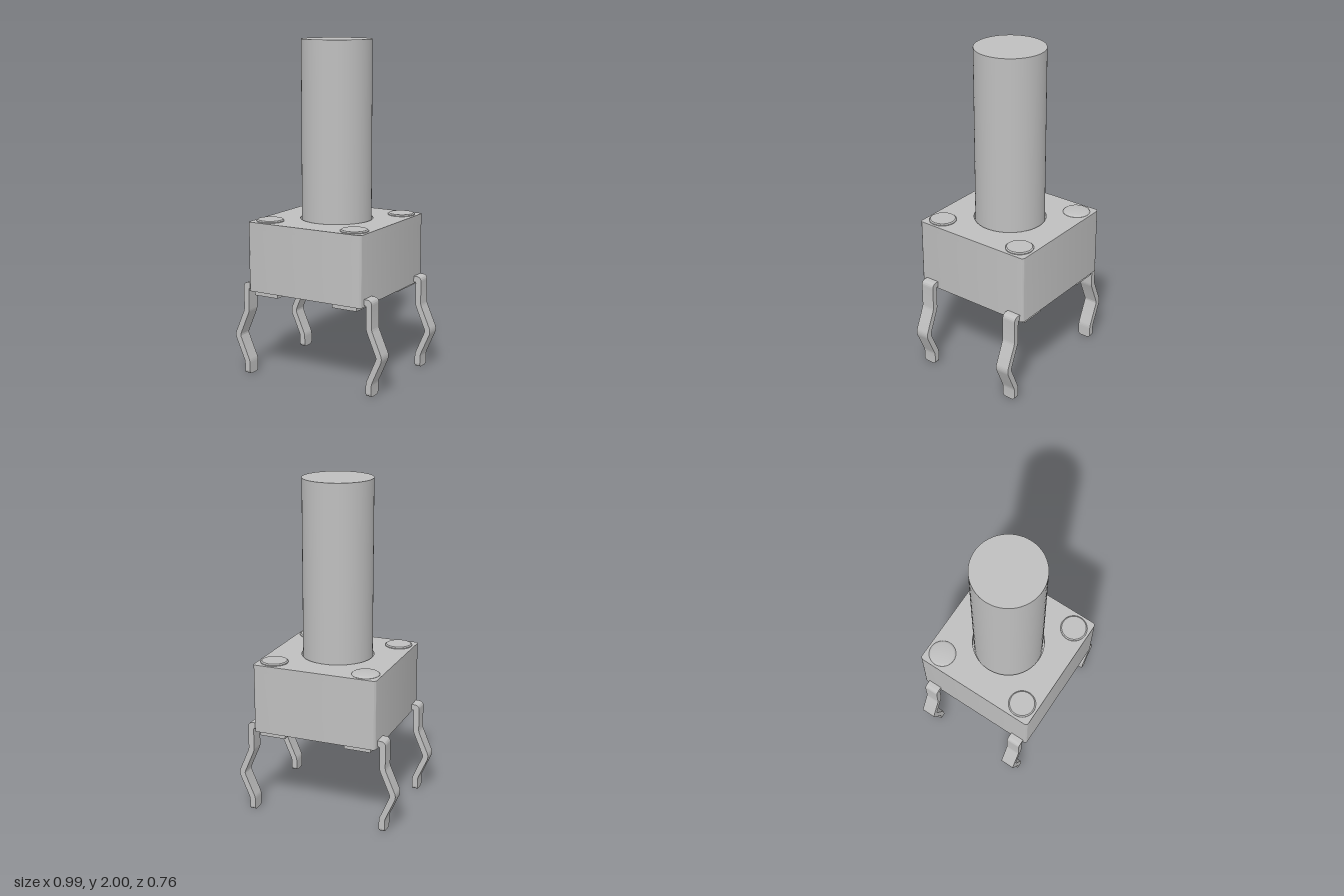
import * as THREE from 'three';
import { toCreasedNormals } from 'three/addons/utils/BufferGeometryUtils.js';

const grey = new THREE.MeshStandardMaterial({ color: 0xbfbfbf });
grey.name = 'light grey';

function add(parent, name, geometry, x = 0, y = 0, z = 0) {
  const mesh = new THREE.Mesh(geometry, grey);
  mesh.name = name;
  mesh.position.set(x, y, z);
  parent.add(mesh);
  return mesh;
}

// Square outline with rounded corners
function roundedSquare(h, r) {
  const s = new THREE.Shape();
  s.absarc(h - r, h - r, r, 0, Math.PI / 2);
  s.absarc(r - h, h - r, r, Math.PI / 2, Math.PI);
  s.absarc(r - h, r - h, r, Math.PI, Math.PI * 1.5);
  s.absarc(h - r, r - h, r, Math.PI * 1.5, Math.PI * 2);
  s.closePath();
  return s;
}

function extrude(shape, depth) {
  const geo = new THREE.ExtrudeGeometry(shape, { depth, bevelEnabled: false, curveSegments: 32 });
  return toCreasedNormals(geo, 0.5);
}

function lathe(points) {
  const geo = new THREE.LatheGeometry(points.map(([r, y]) => new THREE.Vector2(r, y)), 64);
  return toCreasedNormals(geo, 0.5);
}

// Bent strip: horizontal root, rounded shoulder and an outward kink
function legProfile() {
  const s = new THREE.Shape();
  s.moveTo(0.37, 0.57);
  s.lineTo(0.4, 0.57);
  s.quadraticCurveTo(0.43, 0.568, 0.43, 0.54);
  s.lineTo(0.43, 0.41);
  s.quadraticCurveTo(0.43, 0.395, 0.437, 0.38);
  s.lineTo(0.489, 0.26);
  s.quadraticCurveTo(0.499, 0.235, 0.489, 0.21);
  s.lineTo(0.437, 0.092);
  s.quadraticCurveTo(0.43, 0.077, 0.43, 0.062);
  s.lineTo(0.43, 0.02);
  s.lineTo(0.395, 0.02);
  s.lineTo(0.395, 0.066);
  s.quadraticCurveTo(0.395, 0.082, 0.402, 0.098);
  s.lineTo(0.456, 0.222);
  s.quadraticCurveTo(0.462, 0.235, 0.456, 0.248);
  s.lineTo(0.402, 0.374);
  s.quadraticCurveTo(0.395, 0.39, 0.395, 0.405);
  s.lineTo(0.395, 0.53);
  s.lineTo(0.39, 0.535);
  s.lineTo(0.37, 0.535);
  s.closePath();
  return s;
}

// Leg end with rounded lower corners, drawn across the strip
function tipShape(w) {
  const s = new THREE.Shape();
  s.moveTo(-w / 2, 0.02);
  s.absarc(-w / 2 + 0.02, 0.02, 0.02, Math.PI, Math.PI * 1.5);
  s.absarc(w / 2 - 0.02, 0.02, 0.02, Math.PI * 1.5, Math.PI * 2);
  s.closePath();
  return s;
}

export function createModel() {
  const model = new THREE.Group();
  model.name = 'pushButtonSwitch';

  // Housing: solid base under a thin top layer with the plunger opening
  const housing = new THREE.Group();
  housing.name = 'housing';
  model.add(housing);
  add(housing, 'housingBase', extrude(roundedSquare(0.381, 0.02), 0.375), 0, 0.525, 0).rotation.x = -Math.PI / 2;
  const coverShape = roundedSquare(0.381, 0.02);
  coverShape.holes.push(new THREE.Path().absarc(0, 0, 0.216, 0, Math.PI * 2, true));
  add(housing, 'housingCover', extrude(coverShape, 0.042), 0, 0.9, 0).rotation.x = -Math.PI / 2;

  // Plunger
  add(model, 'plunger', new THREE.CylinderGeometry(0.208, 0.208, 1.1, 64), 0, 1.45, 0);

  // Corner studs; the back right one is domed at the rim
  const stud = lathe([[0.081, 0], [0.081, 0.006], [0.074, 0.012], [0, 0.012]]);
  const domed = lathe([[0.081, 0], [0.081, 0.002], [0.078, 0.007], [0.073, 0.01], [0.066, 0.012], [0, 0.012]]);
  for (const x of [-1, 1]) for (const z of [-1, 1]) {
    add(model, 'cornerStud', x < 0 && z < 0 ? domed : stud, x * 0.285, 0.941, z * 0.285);
    // Standoff pads under the housing
    add(model, 'standoffPad', new THREE.BoxGeometry(0.16, 0.03, 0.24), x * 0.267, 0.515, z * 0.246);
  }

  // Legs: one pair, turned half round for the other side
  const w = 0.086;
  const strip = extrude(legProfile(), w).translate(0, 0, -w / 2);
  const tip = extrude(tipShape(w), 0.035).rotateY(Math.PI / 2).translate(0.395, 0, 0);
  for (const turn of [0, Math.PI]) {
    const pair = new THREE.Group();
    pair.name = turn ? 'rightLegs' : 'leftLegs';
    pair.rotation.y = turn;
    for (const z of [-0.317, 0.299]) {
      add(pair, 'legStrip', strip, 0, 0, z);
      add(pair, 'legTip', tip, 0, 0, z);
    }
    model.add(pair);
  }
  return model;
}
